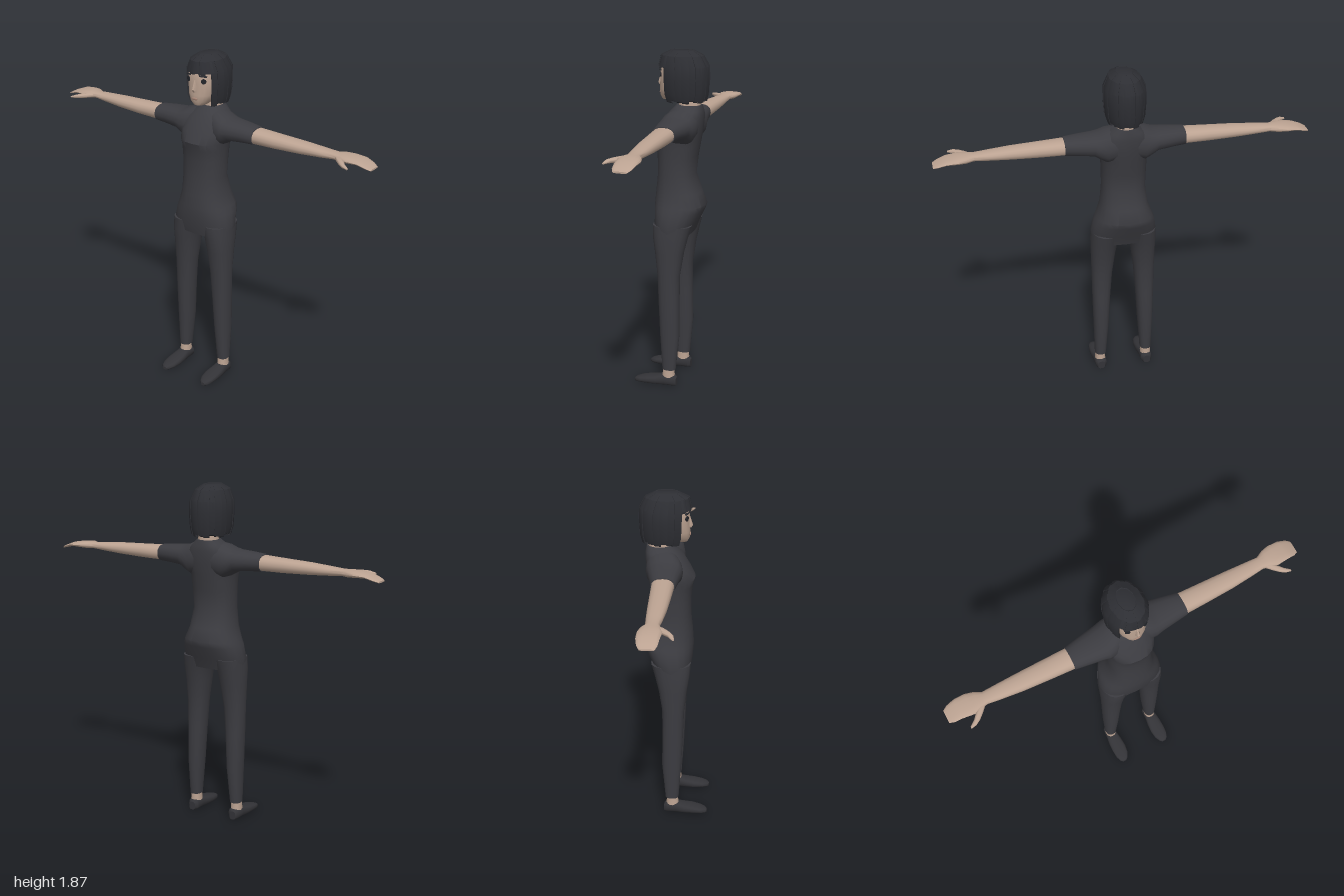
import * as THREE from 'three';
import { toCreasedNormals } from 'three/addons/utils/BufferGeometryUtils.js';

const material = (name, color) => {
  const m = new THREE.MeshStandardMaterial({ color });
  m.name = name;
  return m;
};

// Oval cross-section at t on an axis, spanning a0..a1 and b0..b1
function ring(axis, t, a0, a1, b0, b1, p = 2.4, n = 16) {
  const pts = [];
  const soft = (v) => Math.sign(v) * Math.abs(v) ** (2 / p);
  for (let i = 0; i < n; i++) {
    const th = (i / n) * Math.PI * 2;
    const a = (a0 + a1) / 2 + ((a1 - a0) / 2) * soft(Math.cos(th));
    const b = (b0 + b1) / 2 + ((b1 - b0) / 2) * soft(Math.sin(th));
    pts.push(axis === 'y' ? [a, t, b] : axis === 'x' ? [t, a, b] : [a, b, t]);
  }
  return pts;
}

// Closed skin over a row of cross-sections, always facing outwards
function loft(rings, crease = 0.7) {
  const n = rings[0].length;
  const pts = rings.flat();
  const tris = [];
  for (let r = 0; r < rings.length - 1; r++) {
    for (let i = 0; i < n; i++) {
      const a = r * n + i, b = r * n + ((i + 1) % n);
      tris.push([a, b, b + n], [a, b + n, a + n]);
    }
  }
  [0, rings.length - 1].forEach((r) => {
    const c = [0, 1, 2].map((k) => rings[r].reduce((s, q) => s + q[k], 0) / n);
    const id = pts.push(c) - 1;
    for (let i = 0; i < n; i++) {
      const a = r * n + i, b = r * n + ((i + 1) % n);
      tris.push(r === 0 ? [id, b, a] : [id, a, b]);
    }
  });
  const V = pts.map((q) => new THREE.Vector3(...q));
  const volume = tris.reduce((s, [a, b, c]) => s + V[a].dot(V[b].clone().cross(V[c])), 0);
  const pos = [];
  for (const [a, b, c] of tris) {
    for (const i of volume > 0 ? [a, b, c] : [a, c, b]) pos.push(...pts[i]);
  }
  const g = new THREE.BufferGeometry();
  g.setAttribute('position', new THREE.Float32BufferAttribute(pos, 3));
  return toCreasedNormals(g, crease);
}

// Linear lookup in rows sorted by their first entry
function sample(rows, y) {
  let i = 0;
  while (i < rows.length - 2 && y > rows[i + 1][0]) i++;
  const k = THREE.MathUtils.clamp((y - rows[i][0]) / (rows[i + 1][0] - rows[i][0]), 0, 1);
  return rows[i].map((v, j) => v + (rows[i + 1][j] - v) * k);
}

export function createModel() {
  const skin = material('skin', 0xbca392);
  const suit = material('suit', 0x3c3c41);
  const hairMat = material('hair', 0x2d2e33);
  const shoeMat = material('shoe', 0x333337);
  const eyeMat = material('eye', 0x24262b);
  const lipMat = material('lips', 0xa98778);

  const model = new THREE.Group();
  const add = (name, geo, mat, parent = model) => {
    const m = new THREE.Mesh(geo, mat);
    m.name = name;
    parent.add(m);
    return m;
  };
  const upright = (rows, p) => rows.map(([y, hx, zf, zb]) => ring('y', y, -hx, hx, zb, zf, p, 20));

  // Torso: height, half width, front, back
  add('torso', loft(upright([
    [0.87, 0.176, 0.088, -0.103], [0.93, 0.181, 0.1, -0.125], [1.0, 0.166, 0.105, -0.16],
    [1.03, 0.153, 0.105, -0.17], [1.1, 0.128, 0.1, -0.145], [1.2, 0.118, 0.09, -0.11],
    [1.3, 0.12, 0.092, -0.122], [1.36, 0.122, 0.1, -0.133], [1.4, 0.126, 0.112, -0.14],
    [1.45, 0.136, 0.087, -0.148], [1.52, 0.122, 0.045, -0.155], [1.55, 0.09, 0.018, -0.153],
    [1.578, 0.057, -0.01, -0.147],
  ])), suit);
  add('neck', loft(upright([[1.53, 0.06, -0.015, -0.14], [1.59, 0.053, -0.022, -0.138],
    [1.66, 0.05, -0.02, -0.13]], 2)), skin);

  // Head
  const face = [
    [1.603, 0.032, 0.07, -0.03], [1.625, 0.054, 0.081, -0.08], [1.66, 0.075, 0.082, -0.12],
    [1.72, 0.085, 0.079, -0.15], [1.78, 0.086, 0.08, -0.16], [1.83, 0.074, 0.06, -0.145],
  ];
  const head = new THREE.Group();
  head.name = 'head';
  model.add(head);
  add('face', loft(upright(face, 2.5), 1), skin, head);
  const faceZ = (x, y) => {
    const [, hx, zf, zb] = sample(face, y);
    return (zf + zb) / 2 + ((zf - zb) / 2) * (1 - (Math.abs(x) / hx) ** 2.5) ** 0.4;
  };
  add('nose', loft([ring('y', 1.745, -0.005, 0.005, 0.06, 0.08, 2, 6),
    ring('y', 1.69, -0.013, 0.013, 0.06, 0.098, 2, 6),
    ring('y', 1.677, -0.012, 0.012, 0.06, 0.09, 2, 6)]), skin, head);
  const lips = add('lips', new THREE.SphereGeometry(1, 12, 6), lipMat, head);
  lips.scale.set(0.021, 0.007, 0.004);
  lips.position.set(0, 1.641, faceZ(0.008, 1.641) + 0.001);

  // Hair envelope: height, half width, front, back
  const bob = [
    [1.598, 0.094, 0.07, -0.172], [1.64, 0.106, 0.085, -0.183], [1.72, 0.112, 0.09, -0.188],
    [1.785, 0.109, 0.092, -0.186], [1.84, 0.083, 0.078, -0.155], [1.866, 0.045, 0.025, -0.105],
  ];
  const hair = new THREE.Group();
  hair.name = 'hair';
  head.add(hair);
  add('hairCap', loft(bob.slice(3).map(([y, hx, zf, zb]) =>
    ring('y', y - 0.002, -hx * 0.95, hx * 0.95, zb * 0.96, zf * 0.94, 2.2, 22))), hairMat, hair);

  // Locks hang around the head, cut short as a fringe above the face
  const N = 22;
  for (let i = 0; i < N; i++) {
    const a0 = Math.PI / 2 + (i / N) * Math.PI * 2;
    const a1 = a0 + ((Math.PI * 2) / N) * 1.08;
    const fringe = i < 3 || i >= N - 3;
    const end = fringe ? 1.772 + 0.008 * (i % 2) : 1.598 + 0.012 * ((i * 7) % 3) / 2;
    const levels = [end, ...bob.map((r) => r[0]).filter((y) => y > end + 0.005)];
    const grow = i % 2 ? 1 : 0.965;
    add(fringe ? 'fringeLock' : 'hairLock', loft(levels.map((y) => {
      const [, hx, zf, zb] = sample(bob, y);
      const at = (th, k) => [hx * k * Math.cos(th), y + (k < 0.9 ? -0.006 : 0),
        (zf + zb) / 2 + ((zf - zb) / 2) * k * Math.sin(th)];
      return [at(a0, grow), at((a0 + a1) / 2, grow * 1.01), at(a1, grow), at(a1, 0.85), at(a0, 0.85)];
    }), 0.5), hairMat, hair);
  }

  // Mirrored parts
  for (const s of [1, -1]) {
    const side = s > 0 ? 'left' : 'right';
    const along = (rows, p) => loft(rows.map(([x, y0, y1, zf, zb]) => ring('x', s * x, y0, y1, zb, zf, p)), 0.8);

    // Eyes and brows
    const turn = s * 0.4;
    const eye = add(side + 'Eye', new THREE.CylinderGeometry(0.0135, 0.0135, 0.008, 14).rotateX(Math.PI / 2), eyeMat, head);
    eye.position.set(s * 0.048, 1.739, faceZ(0.048, 1.739));
    eye.rotation.y = turn;
    const brow = add(side + 'Brow', new THREE.BoxGeometry(0.042, 0.007, 0.009), hairMat, head);
    brow.position.set(s * 0.046, 1.766, faceZ(0.046, 1.766));
    brow.rotation.set(0, turn, -s * 0.06);

    // Arm: distance out, bottom, top, front, back
    add(side + 'Sleeve', along([
      [0.05, 1.39, 1.567, 0.03, -0.145], [0.1, 1.375, 1.555, 0.05, -0.145],
      [0.135, 1.395, 1.538, 0.052, -0.138], [0.17, 1.418, 1.53, 0.047, -0.13],
      [0.25, 1.425, 1.525, 0.036, -0.115], [0.322, 1.428, 1.518, 0.025, -0.101],
    ]), suit);
    add(side + 'ArmAndHand', along([
      [0.31, 1.432, 1.514, 0.021, -0.097], [0.45, 1.434, 1.508, 0.014, -0.095],
      [0.6, 1.44, 1.502, 0.006, -0.092], [0.72, 1.448, 1.494, -0.006, -0.088],
      [0.79, 1.454, 1.489, -0.015, -0.085], [0.83, 1.453, 1.492, -0.004, -0.106],
      [0.87, 1.456, 1.49, 0.004, -0.116], [0.93, 1.46, 1.482, -0.004, -0.116],
      [0.975, 1.449, 1.465, -0.01, -0.108], [1.0, 1.443, 1.452, -0.022, -0.094],
    ]), skin);
    add(side + 'Thumb', along([
      [0.8, 1.46, 1.482, -0.016, -0.045], [0.83, 1.457, 1.484, 0.016, -0.035],
      [0.86, 1.456, 1.481, 0.043, -0.002], [0.885, 1.456, 1.477, 0.057, 0.028],
      [0.915, 1.457, 1.466, 0.062, 0.05],
    ], 2), skin);

    // Leg: height, inner, outer, front, back
    const column = (rows) => loft(rows.map(([y, x0, x1, zf, zb]) => ring('y', y, s * x0, s * x1, zb, zf)), 0.8);
    add(side + 'Leg', column([
      [0.095, 0.102, 0.166, 0.032, -0.043], [0.3, 0.086, 0.171, 0.046, -0.062],
      [0.5, 0.074, 0.175, 0.055, -0.06], [0.65, 0.062, 0.177, 0.061, -0.061],
      [0.78, 0.046, 0.179, 0.077, -0.082], [0.86, 0.034, 0.18, 0.09, -0.102],
      [0.93, 0.012, 0.176, 0.095, -0.122],
    ]), suit);
    add(side + 'Ankle', column([
      [0.03, 0.104, 0.166, 0.035, -0.04], [0.075, 0.107, 0.163, 0.03, -0.036],
      [0.13, 0.107, 0.163, 0.027, -0.037],
    ]), skin);

    // Shoe: distance forward, inner, outer, height
    add(side + 'Shoe', loft([
      [-0.05, 0.116, 0.156, 0.048], [-0.035, 0.102, 0.167, 0.06], [0.02, 0.1, 0.17, 0.062],
      [0.06, 0.094, 0.176, 0.052], [0.11, 0.091, 0.178, 0.044], [0.155, 0.098, 0.174, 0.034],
      [0.182, 0.112, 0.164, 0.026], [0.194, 0.126, 0.15, 0.018],
    ].map(([z, x0, x1, h]) => ring('z', z, s * x0, s * x1, 0, h, 2.8))), shoeMat);
  }
  return model;
}
